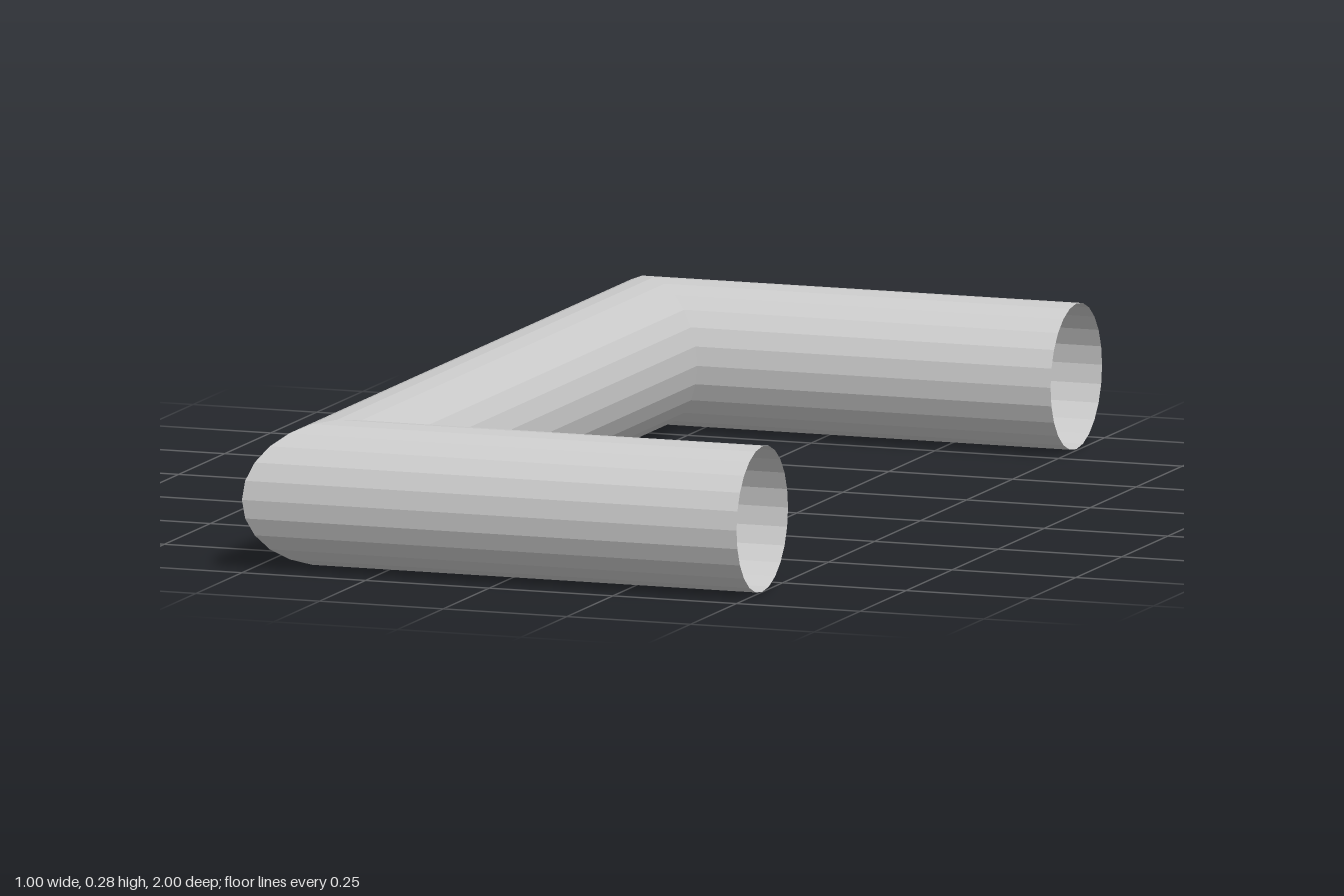
import * as THREE from 'three';

const R = 0.14, SIDES = 24;
const CORNER_X = -0.36, CORNER_Z = 0.86;

// Open tube whose vertices are moved by a rule, so its ends can be mitred
function tube(name, orient, rule, material) {
  const geo = new THREE.CylinderGeometry(R, R, 1, SIDES, 1, true);
  orient(geo);
  const pos = geo.attributes.position;
  const v = new THREE.Vector3();
  for (let i = 0; i < pos.count; i++) {
    v.fromBufferAttribute(pos, i);
    rule(v);
    pos.setXYZ(i, v.x, v.y + R, v.z);
  }
  geo.computeVertexNormals();
  const mesh = new THREE.Mesh(geo, material);
  mesh.name = name;
  return mesh;
}

export function createModel() {
  const group = new THREE.Group();
  group.name = 'pipeBracket';
  const material = new THREE.MeshStandardMaterial({
    color: 0xcccccc, flatShading: true, side: THREE.DoubleSide,
  });

  // Long pipe along z, mitred at both ends
  group.add(tube('longPipe', g => g.rotateX(Math.PI / 2), v => {
    v.z = Math.sign(v.z) * (CORNER_Z - v.x);
    v.x += CORNER_X;
  }, material));

  // Two side pipes along x: mitred at the corner, open at the tip
  for (const [name, s, tip] of [['frontPipe', 1, 0.5], ['backPipe', -1, 0.495]]) {
    group.add(tube(name, g => g.rotateZ(Math.PI / 2), v => {
      v.x = v.x > 0 ? tip : CORNER_X - s * v.z;
      v.z += s * CORNER_Z;
    }, material));
  }
  return group;
}
